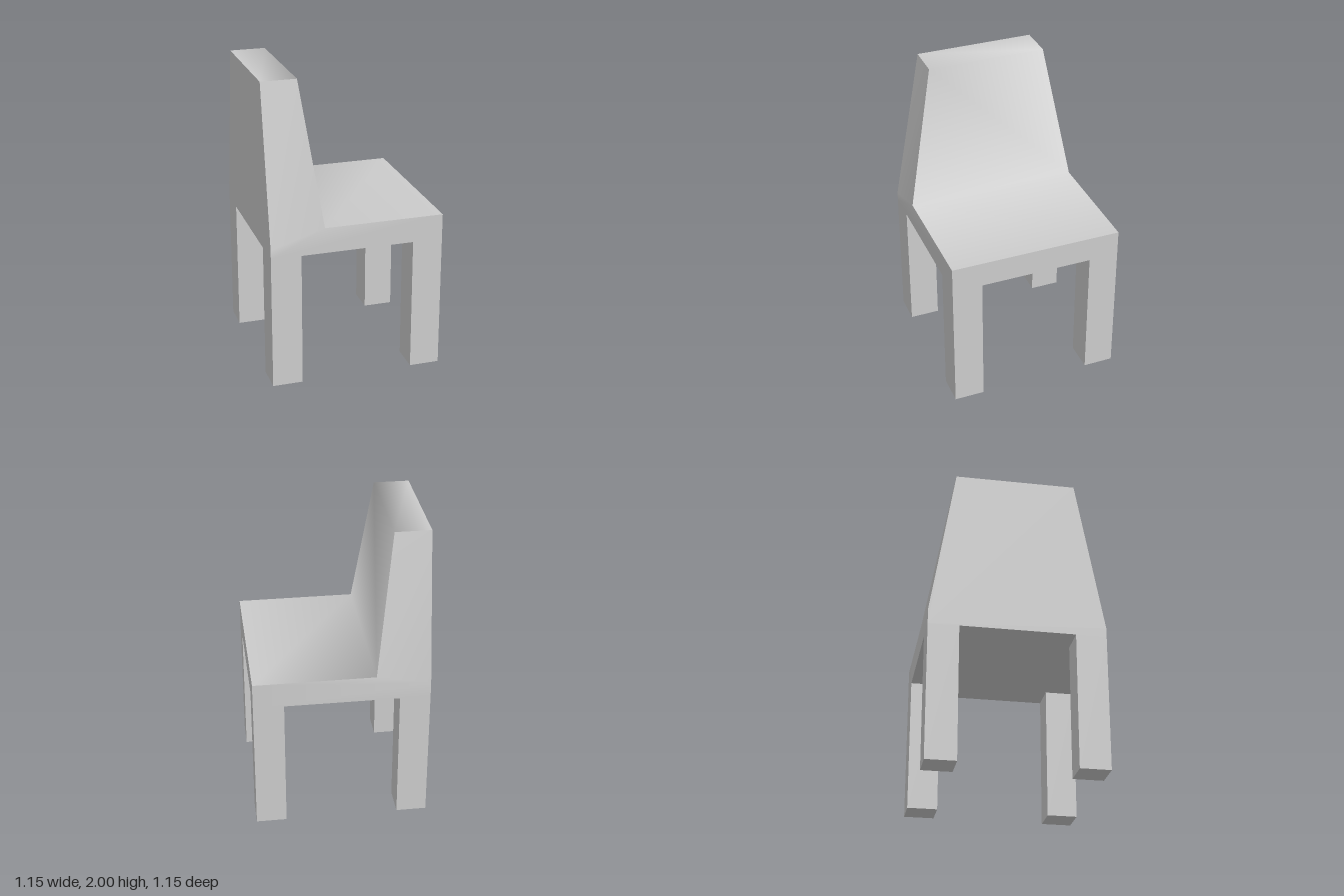
import * as THREE from 'three';

const material = new THREE.MeshStandardMaterial({ color: 0xcccccc });
const W = 0.575;       // half width of the seat
const UNDER = 0.9;     // underside of the seat
const SEAT = 1.07;     // top of the seat

// Mesh from polygons (corner lists), fan-triangulated, sharing vertices so it shades smoothly
function surface(name, polygons) {
  const ids = new Map(), positions = [], index = [];
  const id = (p) => {
    const key = p.join();
    if (!ids.has(key)) { ids.set(key, ids.size); positions.push(...p); }
    return ids.get(key);
  };
  for (const poly of polygons)
    for (let i = 1; i < poly.length - 1; i++) index.push(id(poly[0]), id(poly[i]), id(poly[i + 1]));
  const geometry = new THREE.BufferGeometry();
  geometry.setAttribute('position', new THREE.Float32BufferAttribute(positions, 3));
  geometry.setIndex(index);
  geometry.computeVertexNormals();
  const mesh = new THREE.Mesh(geometry, material);
  mesh.name = name;
  return mesh;
}

// Outline corners of one side of the seat and backrest
function sideCorners(z, topZ, kinkY) {
  return {
    rearUnder: [-W, UNDER, z], frontUnder: [W, UNDER, z], frontTop: [W, SEAT, z],
    crease: [-0.22, SEAT, z], backTopInner: [-0.34, 2, topZ], backTop: [-W, 2, topZ],
    kink: [-W, kinkY, z],
  };
}

export function createModel() {
  const chair = new THREE.Group();
  chair.name = 'chair';
  const a = sideCorners(W, 0.385, 0.96);
  const b = sideCorners(-W, -0.41, 1.0);

  // Seat top, backrest front and backrest top as one smooth strip
  const strip = ['backTop', 'backTopInner', 'crease', 'frontTop'];
  chair.add(surface('seatAndBackrestTop',
    strip.slice(1).map((k, i) => [a[strip[i]], a[k], b[k], b[strip[i]]])));

  // Side walls: seat edge below, tapering backrest above
  for (const [name, s, flip] of [['sideWallA', a, false], ['sideWallB', b, true]]) {
    const polygons = [
      [s.rearUnder, s.frontUnder, s.frontTop, s.crease, s.kink],
      [s.kink, s.crease, s.backTopInner, s.backTop],
    ];
    if (flip) polygons.forEach((p) => p.reverse());
    chair.add(surface(name, polygons));
  }

  // Flat panels
  chair.add(surface('backrestRear',
    [[b.rearUnder, a.rearUnder, a.kink, a.backTop, b.backTop, b.kink]]));
  chair.add(surface('seatUnderside', [[b.rearUnder, b.frontUnder, a.frontUnder, a.rearUnder]]));
  chair.add(surface('seatFrontEdge', [[a.frontUnder, b.frontUnder, b.frontTop, a.frontTop]]));

  // Four square legs flush with the seat corners
  const legSize = 0.2;
  for (const sx of [-1, 1]) for (const sz of [-1, 1]) {
    const leg = new THREE.Mesh(new THREE.BoxGeometry(legSize, UNDER, legSize), material);
    leg.position.set(sx * (W - legSize / 2), UNDER / 2, sz * (W - legSize / 2));
    leg.name = sx > 0 ? 'frontLeg' : 'rearLeg';
    chair.add(leg);
  }
  return chair;
}
